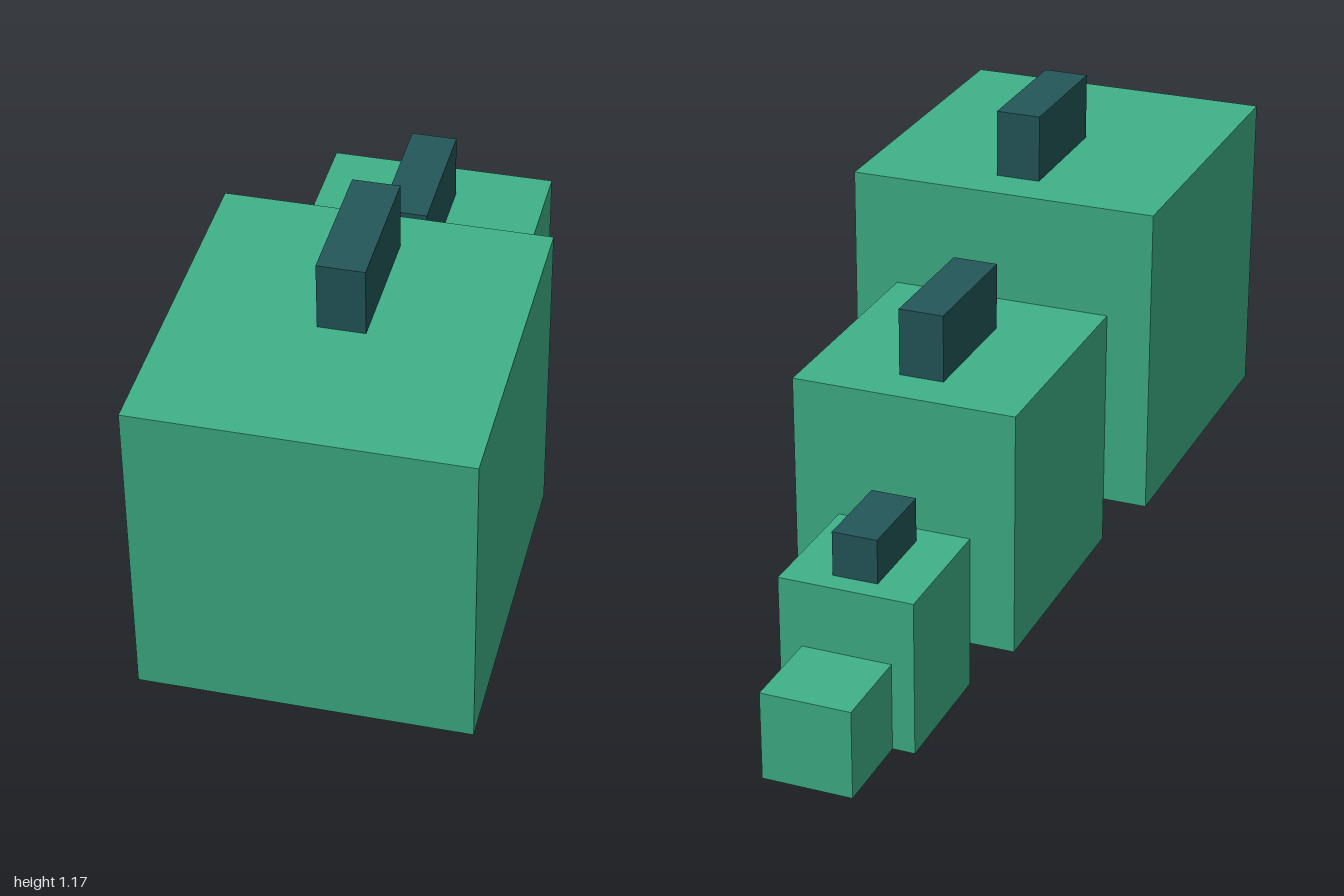
import * as THREE from 'three';

const UNIT = 1 / 18; // the model sits on a grid of 36 units along z

export function createModel() {
  const group = new THREE.Group();
  const green = new THREE.MeshStandardMaterial({ color: 0x3eb187 });
  green.name = 'green';
  const darkTeal = new THREE.MeshStandardMaterial({ color: 0x235759 });
  darkTeal.name = 'dark teal';

  // Box centred on x, spanning y0..y1 and z0..z1 in grid units
  function block(name, material, width, y0, y1, z0, z1) {
    const geometry = new THREE.BoxGeometry(width * UNIT, (y1 - y0) * UNIT, (z1 - z0) * UNIT);
    const mesh = new THREE.Mesh(geometry, material);
    mesh.position.set(0, (y0 + y1) / 2 * UNIT, (z0 + z1) / 2 * UNIT);
    mesh.name = name;
    group.add(mesh);
  }

  // Body segments, tapering to the back
  block('frontSegment', green, 14, 4, 18, 3, 18);
  block('middleSegment', green, 10, 2, 13, -8, 3);
  block('rearSegment', green, 6, 0, 7, -14, -8);
  block('tailTip', green, 4, 0, 4, -18, -14);

  // Fins along the back
  block('frontFin', darkTeal, 2, 18, 21, 5, 11);
  block('middleFin', darkTeal, 2, 13, 16, -6, 0);
  block('rearFin', darkTeal, 2, 7, 9, -13, -9);

  return group;
}
